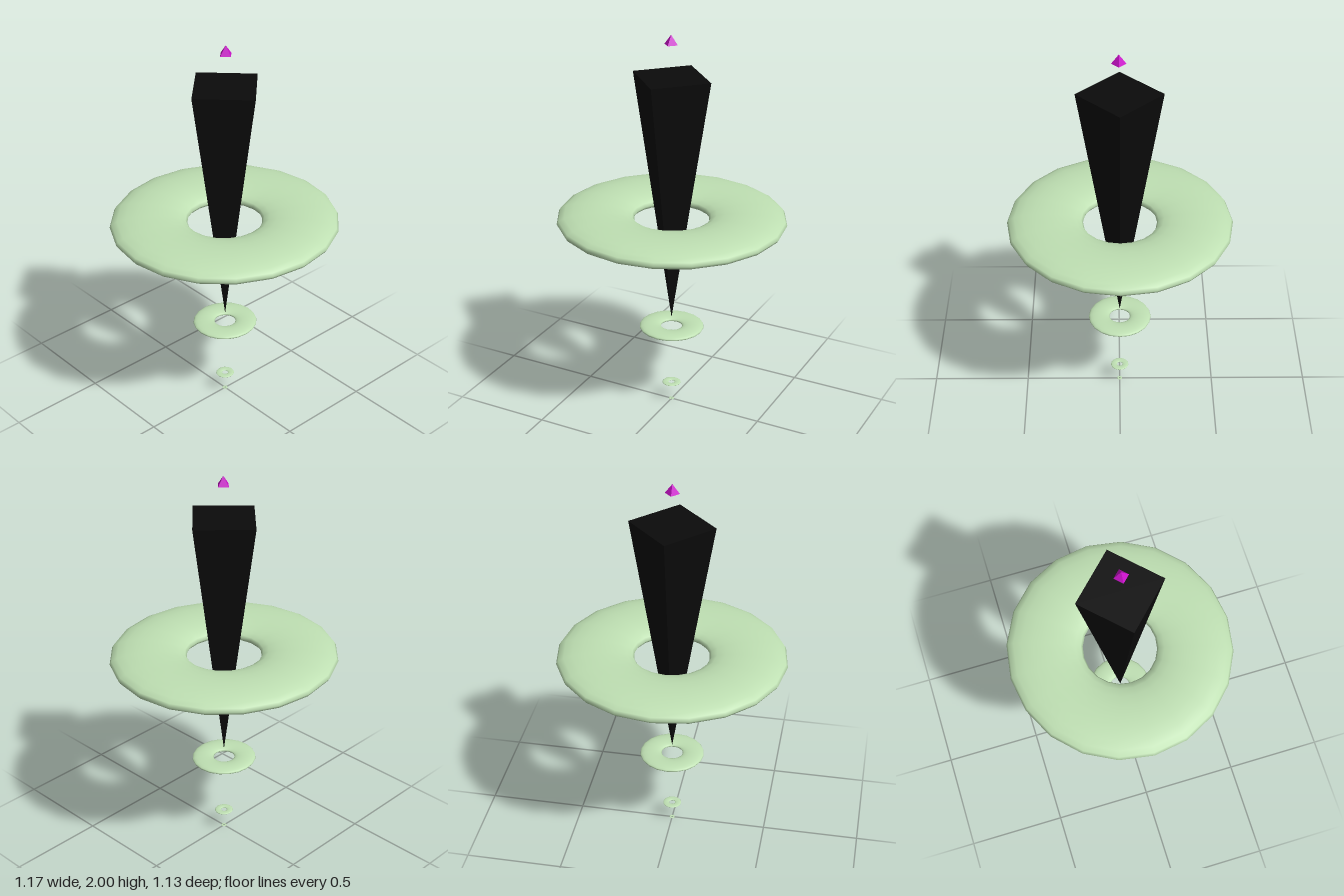
import * as THREE from 'three';

const paint = (color, flatShading = false) => new THREE.MeshStandardMaterial({ color, flatShading });

export function createModel() {
  const model = new THREE.Group();
  const green = paint(0xbfe0b3);
  const black = paint(0x0b0b0b);
  black.flatShading = true;
  const magenta = paint(0xcc12cc, true);

  const add = (name, geometry, material, y, z = 0) => {
    const mesh = new THREE.Mesh(geometry, material);
    mesh.name = name;
    mesh.position.set(0, y, z);
    model.add(mesh);
  };

  // Floating flattened rings, each a shrunken copy of the largest
  const rings = [
    ['largeRing', 1.05, 1],
    ['mediumRing', 0.44, 0.288],
    ['smallRing', 0.103, 0.083],
    ['tinyRing', 0.002, 0.024],
  ];
  for (const [name, y, s] of rings) {
    const ring = new THREE.TorusGeometry(0.387, 0.196, 20, 20);
    ring.rotateX(Math.PI / 2);
    ring.scale(s, 0.26 * s, 0.972 * s);
    add(name, ring, green, y, -0.002 * s);
  }

  // Inverted four-sided spike through the large ring
  const spike = new THREE.ConeGeometry(0.212, 1.3, 4);
  spike.rotateX(Math.PI);
  add('spike', spike, black, 1.14);

  // Small pyramid floating on top
  add('topPyramid', new THREE.ConeGeometry(0.036, 0.048, 4), magenta, 1.976, 0.004);

  return model;
}
